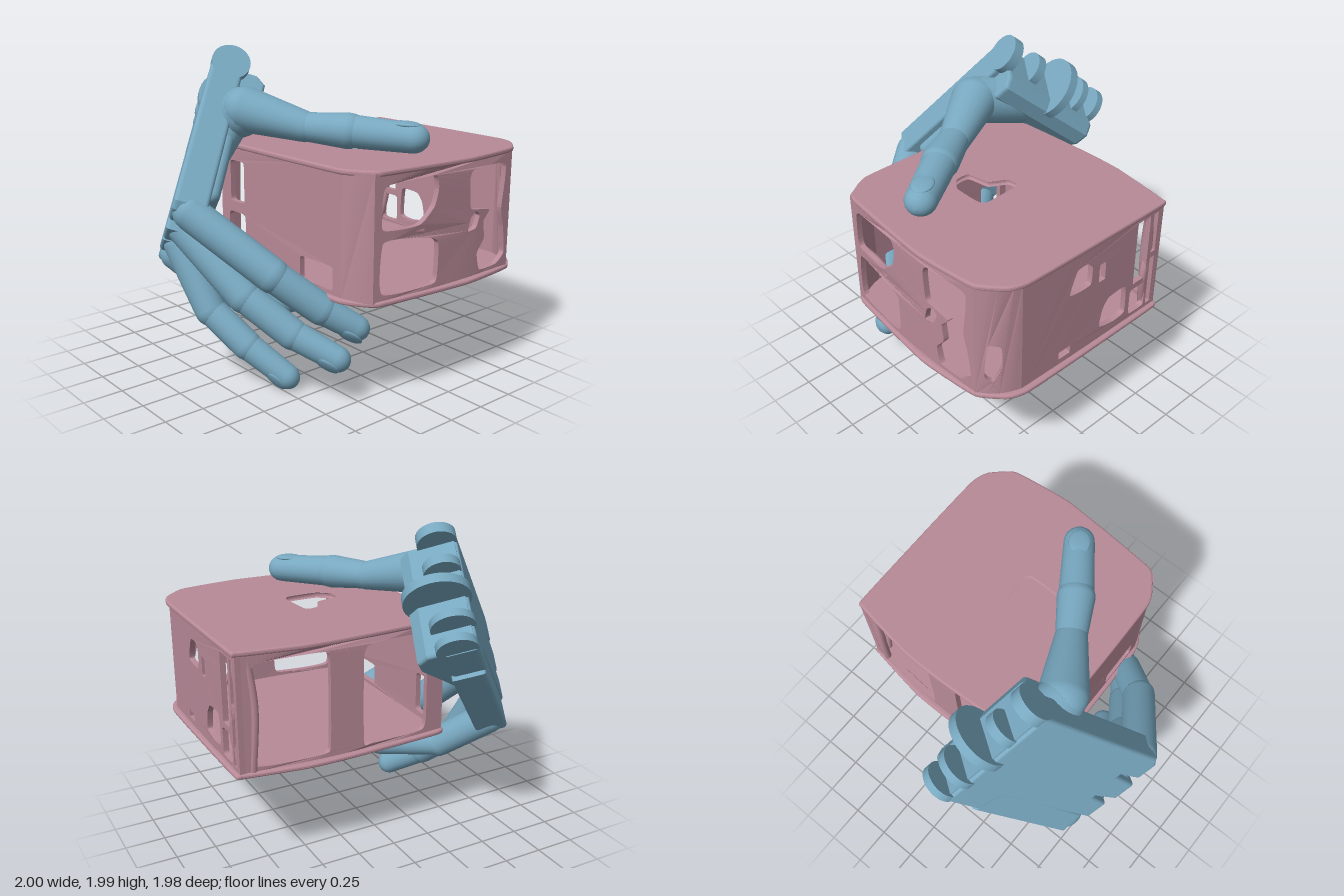
import * as THREE from 'three';
import { RoundedBoxGeometry } from 'three/addons/geometries/RoundedBoxGeometry.js';

const V = (x, y, z) => new THREE.Vector3(x, y, z);
const blue = new THREE.MeshStandardMaterial({ color: 0x78a8c0 });
const pink = new THREE.MeshStandardMaterial({ color: 0xb88a98, side: THREE.DoubleSide });

function add(parent, name, geometry, material) {
  const mesh = new THREE.Mesh(geometry, material);
  mesh.name = name;
  parent.add(mesh);
  return mesh;
}

// Soft closed outline through a few points
function outline(points, Type = THREE.Path) {
  const curve = new THREE.CatmullRomCurve3(points.map(([x, y]) => V(x, y, 0)), true, 'catmullrom', 0.25);
  return new Type(curve.getPoints(points.length * 8).slice(0, -1).map(p => new THREE.Vector2(p.x, p.y)));
}
const win = (x0, x1, y0, y1) => {
  const c = Math.min(x1 - x0, y1 - y0) * 0.15;
  return [[x0 + c, y0], [x1 - c, y0], [x1, y0 + c], [x1, y1 - c], [x1 - c, y1], [x0 + c, y1], [x0, y1 - c], [x0, y0 + c]];
};

// Tapered rod with rounded ends between two points
function limb(parent, name, a, b, ra, rb, axis) {
  const dir = b.clone().sub(a), len = dir.length(), pts = [];
  for (let i = 0; i <= 6; i++) {
    const t = (i / 6 - 1) * Math.PI / 2;
    pts.push(new THREE.Vector2(Math.max(0, ra * Math.cos(t)), ra * Math.sin(t)));
  }
  for (let i = 0; i <= 6; i++) {
    const t = i / 6 * Math.PI / 2;
    pts.push(new THREE.Vector2(Math.max(0, rb * Math.cos(t)), len + rb * Math.sin(t)));
  }
  const mesh = add(parent, name, new THREE.LatheGeometry(pts, 24), blue);
  dir.normalize();
  const back = axis.clone().cross(dir).normalize();
  const side = dir.clone().cross(back);
  mesh.matrix.makeBasis(side, dir, back).scale(V(1, 1, 0.92)).setPosition(a);
  mesh.matrix.decompose(mesh.position, mesh.quaternion, mesh.scale);
  return { back, quaternion: mesh.quaternion };
}

// Finger: one bone per pair of joints, each stepped at the joint, and a nail
function finger(parent, name, joints, radii, axis) {
  const g = new THREE.Group();
  g.name = name;
  parent.add(g);
  const n = joints.length - 1, tip = radii[n];
  let last;
  for (let i = 0; i < n; i++) {
    const end = i === n - 1;
    const a = joints[i], b = joints[i + 1].clone();
    if (end) b.addScaledVector(b.clone().sub(a).normalize(), -tip);
    last = limb(g, end ? 'fingertip' : 'fingerBone', a, b, radii[i] * (i ? 0.93 : 1), radii[i + 1], axis);
  }
  const nail = add(g, 'nail', new THREE.SphereGeometry(1, 20, 12), blue);
  nail.position.copy(joints[n - 1]).lerp(joints[n], 0.7).addScaledVector(last.back, tip * 0.82);
  nail.quaternion.copy(last.quaternion);
  nail.scale.set(tip * 0.7, tip * 0.9, tip * 0.17);
}

function makeCase() {
  const g = new THREE.Group();
  g.name = 'openCase';
  const rim = [[-0.4, -0.34], [-0.36, -0.4], [-0.07, -0.42], [0.3, -0.435], [0.55, -0.43], [0.93, -0.37],
    [0.96, -0.33], [0.97, 0.3], [0.97, 0.7], [0.935, 0.81], [0.81, 0.92], [0.6, 0.95], [0.4, 0.965], [0.05, 0.94],
    [-0.25, 0.91], [-0.31, 0.86], [-0.385, 0.72], [-0.4, 0.2]].map(([x, z]) => [x, -z]);
  const slab = (name, y, flare, hole) => {
    const shape = outline(rim, THREE.Shape);
    if (hole) shape.holes.push(outline(hole.map(([x, z]) => [x, -z])));
    const geo = new THREE.ExtrudeGeometry(shape, { depth: 0.01, bevelSize: flare, bevelThickness: 0.012, bevelSegments: 3 });
    add(g, name, geo.rotateX(-Math.PI / 2).translate(0, y, 0), pink);
  };
  slab('caseFloor', 0.632, 0.022);
  slab('caseTop', 1.373, 0.015,
    [[0.2, 0.14], [0.28, 0.14], [0.3, 0.38], [0.26, 0.42], [0.08, 0.42], [0, 0.36], [0, 0.27], [0.14, 0.24]]);

  // Upright wall from a to b (x, z), bowed outward; holes are measured along the wall and in height
  const wall = (name, a, b, bow, holes) => {
    const dir = V(b[0] - a[0], 0, b[1] - a[1]), len = dir.length(), edge = [];
    for (let i = 0; i <= 12; i++) edge.push(new THREE.Vector2(len * i / 12, 0.64));
    for (let i = 12; i >= 0; i--) edge.push(new THREE.Vector2(len * i / 12, 1.38));
    const shape = new THREE.Shape(edge);
    holes.forEach(h => shape.holes.push(outline(h)));
    const geo = new THREE.ExtrudeGeometry(shape, { depth: 0.035, bevelEnabled: false }).translate(0, 0, -0.035);
    const p = geo.attributes.position;
    for (let i = 0; i < p.count; i++) p.setZ(i, p.getZ(i) + bow * Math.sin(Math.PI * p.getX(i) / len));
    geo.computeVertexNormals();
    const m = add(g, name, geo, pink);
    m.position.set(a[0], 0, a[1]);
    m.rotation.y = Math.atan2(-dir.z, dir.x);
  };
  wall('frontWall', [-0.3, 0.91], [0.81, 0.935], 0.03, [
    [[0.06, 1.06], [0.32, 1.05], [0.43, 1.14], [0.46, 1.24], [0.43, 1.32], [0.11, 1.31], [0.06, 1.27]],
    [[0.06, 0.69], [0.44, 0.68], [0.47, 0.76], [0.47, 0.92], [0.41, 0.96], [0.2, 0.99], [0.06, 0.98]],
    [[0.73, 1.1], [0.75, 1.07], [0.91, 1.04], [0.86, 0.98], [0.87, 0.87], [0.81, 0.79], [0.84, 0.68],
      [1.0, 0.68], [1.08, 0.74], [1.06, 0.9], [1.03, 1.03], [1.05, 1.3], [0.76, 1.31], [0.72, 1.26]],
    [[0.72, 0.94], [0.79, 0.95], [0.82, 1.02], [0.79, 1.05], [0.74, 1.02]],
  ]);
  wall('frontRightCorner', [0.81, 0.935], [0.96, 0.73], 0.025, [
    [[0.05, 0.78], [0.1, 0.74], [0.15, 0.85], [0.14, 0.98], [0.07, 0.99]],
  ]);
  const at = z => 0.73 - z;
  const wz = (z0, z1, y0, y1) => win(at(z0), at(z1), y0, y1);
  wall('rightWall', [0.96, 0.73], [0.955, -0.38], 0.005, [
    [[at(0.38), 1.11], [at(0.22), 1.1], [at(0.21), 1.22], [at(0.25), 1.26], [at(0.33), 1.25]],
    wz(0.15, 0.1, 1.08, 1.2),
    [[at(0.12), 0.74], [at(0.1), 0.86], [at(0.05), 0.92], [at(-0.09), 0.92], [at(-0.1), 0.73], [at(0), 0.71]],
    wz(-0.16, -0.27, 0.9, 1.33), wz(-0.14, -0.28, 0.68, 0.86), wz(-0.3, -0.36, 0.68, 1.02), wz(-0.3, -0.36, 1.06, 1.33),
    wz(0.45, 0.36, 0.69, 0.74),
  ]);
  wall('backWall', [0.955, -0.375], [-0.39, -0.395], 0.04, [
    [[0.08, 0.69], [0.52, 0.68], [0.56, 0.74], [0.56, 1.27], [0.5, 1.32], [0.12, 1.31], [0.08, 1.2], [0.11, 1.0]],
    [[0.78, 0.7], [0.84, 0.68], [1.2, 0.68], [1.23, 0.8], [1.22, 1.27], [1.15, 1.32], [0.84, 1.32], [0.78, 1.25]],
  ]);
  wall('leftWall', [-0.4, -0.39], [-0.385, 0.74], 0.005, [
    win(0.08, 0.25, 0.69, 0.95), win(0.1, 0.24, 1.02, 1.28), win(0.78, 1.06, 0.68, 0.82),
  ]);
  wall('frontLeftCorner', [-0.385, 0.74], [-0.3, 0.91], 0.01, []);

  // Ragged strands left standing in the openings
  const strands = [
    [[0.93, 1.35, -0.28], [0.92, 1.1, -0.32], [0.94, 0.9, -0.27], [0.92, 0.65, -0.31]],
    [[0.88, 1.35, -0.36], [0.85, 1.05, -0.38], [0.87, 0.65, -0.37]],
    [[-0.28, 1.02, 0.89], [-0.1, 1.03, 0.9], [0.06, 1.01, 0.92]],
  ];
  strands.forEach(p => add(g, 'strand', new THREE.TubeGeometry(new THREE.CatmullRomCurve3(p.map(q => V(...q))), 16, 0.024, 8), pink));
  return g;
}

function makeHand() {
  const hand = new THREE.Group();
  hand.name = 'hand';
  // Hand frame: along the fingers, across the knuckles, out of the palm
  const along = V(-0.557, -0.725, 0.407).normalize();
  const out = along.clone().cross(V(0.288, -0.601, -0.745)).normalize();
  const across = out.clone().cross(along);
  const wrist = V(-0.34, 1.85, -0.36);
  const palm = new THREE.Group();
  palm.name = 'palm';
  palm.quaternion.setFromRotationMatrix(new THREE.Matrix4().makeBasis(along, across, out));
  palm.position.copy(wrist);
  hand.add(palm);

  // Back plate with slots between the knuckles
  const plate = (name, pts, z0, depth) => {
    const shape = new THREE.Shape(pts.map(p => new THREE.Vector2(...p)));
    const geo = new THREE.ExtrudeGeometry(shape, { depth, bevelSize: 0.02, bevelThickness: 0.025, bevelSegments: 4 });
    return add(palm, name, geo.translate(0, 0, z0), blue);
  };
  plate('backPlate', [[0.04, -0.03], [1, -0.03], [1.03, 0], [1.03, 0.12], [0.88, 0.14], [0.88, 0.2], [1.06, 0.22],
    [1.06, 0.34], [0.9, 0.37], [0.9, 0.42], [1.04, 0.44], [1.04, 0.56], [0.3, 0.58], [0.26, 0.74], [0.04, 0.74]], -0.09, 0.15);
  plate('littleFingerPlate', [[0.3, 0.6], [0.38, 0.58], [1, 0.61], [1.02, 0.76], [0.28, 0.77]], -0.08, 0.15);

  // Heel of the palm: a wedge running the width of the wrist
  const heel = plate('palmHeel', [[0.03, -0.08], [0.42, -0.08], [0.42, 0.08], [0.3, 0.14], [0.15, 0.22], [0.07, 0.22], [0.03, 0.17]], -0.72, 0.7);
  heel.rotation.x = Math.PI / 2;

  // Wrist hinge tabs
  [[-0.015, 0.12, 0.07], [0.2, 0.11, 0.06], [0.38, 0.2, 0.06], [0.58, 0.13, 0.05], [0.73, 0.12, 0.05]].forEach(([y, r, w]) => {
    add(palm, 'wristTab', new THREE.CylinderGeometry(r, r, w, 32), blue).position.set(0, y, r > 0.15 ? 0.06 : 0);
  });

  // Palm pad and thumb mount
  add(palm, 'palmPad', new RoundedBoxGeometry(0.76, 0.6, 0.12, 4, 0.05), blue).position.set(0.54, 0.3, 0.08);
  limb(palm, 'thumbMount', V(0.18, 0.24, 0.08), V(0.3, 0, 0.14), 0.17, 0.155, V(1, 0, 0));
  limb(palm, 'thumbPad', V(0.3, 0.06, 0.1), V(0.54, 0.12, 0.07), 0.13, 0.09, V(0, 1, 0));

  // Four fingers
  const knuckle = s => wrist.clone().addScaledVector(along, 1.02).addScaledVector(across, s);
  finger(hand, 'indexFinger', [knuckle(0.05), V(-0.63, 0.76, 0.43), V(-0.42, 0.56, 0.61), V(-0.2, 0.4, 0.77)],
    [0.11, 0.11, 0.1, 0.083], across);
  finger(hand, 'middleFinger', [knuckle(0.28), V(-0.68, 0.59, 0.22), V(-0.52, 0.39, 0.47), V(-0.32, 0.23, 0.75)],
    [0.11, 0.11, 0.1, 0.083], across);
  finger(hand, 'ringFinger', [knuckle(0.5), V(-0.71, 0.42, -0.09), V(-0.6, 0.23, 0.13), V(-0.43, 0.02, 0.41)],
    [0.11, 0.105, 0.098, 0.082], across);
  finger(hand, 'littleFinger', [knuckle(0.69), V(-0.52, 0.45, -0.2), V(-0.22, 0.41, 0.06), V(0.04, 0.52, 0.25)],
    [0.105, 0.1, 0.09, 0.078], across);

  // Thumb resting on the case, waisted before its last joint
  finger(hand, 'thumb', [V(-0.39, 1.61, -0.12), V(-0.2, 1.53, 0.2), V(-0.06, 1.52, 0.43), V(0.21, 1.49, 0.82)],
    [0.15, 0.1, 0.115, 0.095], V(-0.82, 0, 0.57).normalize());
  return hand;
}

export function createModel() {
  const model = new THREE.Group();
  model.name = 'handHoldingCase';
  model.add(makeCase(), makeHand());
  return model;
}
